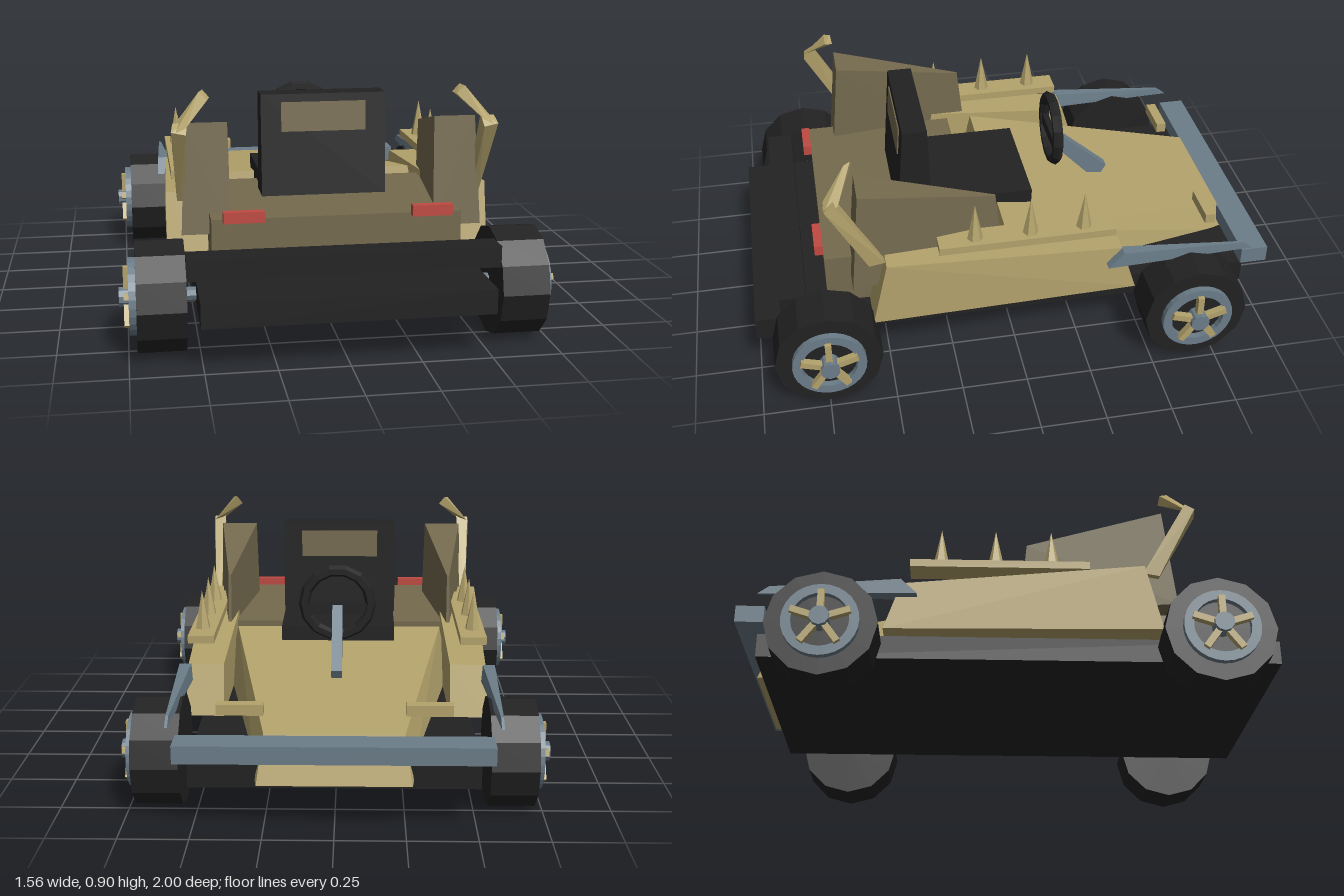
import * as THREE from 'three';
import { ConvexGeometry } from 'three/addons/geometries/ConvexGeometry.js';

const mat = (name, color, opts = {}) => {
  const m = new THREE.MeshStandardMaterial({ color, flatShading: true, ...opts });
  m.name = name;
  return m;
};

export function createModel() {
  const tan = mat('tan', 0xb4a36c);
  const olive = mat('olive', 0x746a4e);
  const black = mat('black', 0x222222);
  const steel = mat('steel', 0x6b7d89);
  const red = mat('red', 0xc04a42);

  const root = new THREE.Group();
  root.name = 'kart';

  const add = (name, geometry, material, parent = root) => {
    const mesh = new THREE.Mesh(geometry, material);
    mesh.name = name;
    parent.add(mesh);
    return mesh;
  };
  // Axis-aligned box from its limits
  const box = (name, m, x0, x1, y0, y1, z0, z1, parent) => {
    const b = add(name, new THREE.BoxGeometry(Math.abs(x1 - x0), y1 - y0, z1 - z0), m, parent);
    b.position.set((x0 + x1) / 2, (y0 + y1) / 2, (z0 + z1) / 2);
    return b;
  };
  // Faceted block from corner points, optionally mirrored
  const hull = (name, m, pts, s = 1) =>
    add(name, new ConvexGeometry(pts.map(([x, y, z]) => new THREE.Vector3(x * s, y, z))), m);
  // Symmetric block: rows of [halfWidth, y, z]
  const symHull = (name, m, rows) =>
    hull(name, m, rows.flatMap(([x, y, z]) => [[x, y, z], [-x, y, z]]));

  // Chassis and bumpers
  box('floorPan', black, -0.51, 0.51, 0.16, 0.25, -0.92, 1.0);
  box('blackBumper', black, -0.55, 0.55, 0.295, 0.372, 0.8, 0.9);
  box('steelBumper', steel, -0.55, 0.55, 0.28, 0.345, -1.0, -0.895);

  // Body
  symHull('hood', tan, [
    [0.245, 0.352, -0.895], [0.415, 0.465, 0.02],
    [0.27, 0.18, -0.95], [0.28, 0.24, -0.88], [0.46, 0.24, 0.06],
  ]);
  box('deck', olive, -0.45, 0.45, 0.24, 0.458, 0.12, 0.72);

  // Seat with a leaning back and an inset panel on both faces
  box('seatCushion', black, -0.225, 0.225, 0.4, 0.508, -0.12, 0.3);
  symHull('seatBack', black, [
    [0.236, 0.84, 0.29], [0.236, 0.84, 0.385],
    [0.236, 0.458, 0.28], [0.236, 0.458, 0.415],
  ]);
  symHull('seatPanel', olive, [
    [0.16, 0.81, 0.285], [0.16, 0.81, 0.392],
    [0.16, 0.7, 0.282], [0.16, 0.7, 0.401],
  ]);

  // Steering wheel and column
  const steering = new THREE.Group();
  steering.name = 'steeringWheel';
  steering.position.set(0, 0.64, -0.245);
  root.add(steering);
  add('steeringRim', new THREE.TorusGeometry(0.129, 0.022, 6, 14), black, steering);
  box('steeringBar', black, -0.12, 0.12, -0.045, 0.0, -0.012, 0.012, steering);
  symHull('steeringColumn', steel, [
    [0.02, 0.635, -0.255], [0.02, 0.575, -0.245],
    [0.02, 0.44, -0.48], [0.02, 0.37, -0.44],
  ]);

  for (const s of [1, -1]) {
    const side = s > 0 ? 'left' : 'right';

    // Side pod
    hull(side + 'SidePod', tan, [
      [0.425, 0.51, 0.5], [0.6, 0.51, 0.5], [0.42, 0.25, 0.56], [0.6, 0.25, 0.56],
      [0.43, 0.44, -0.4], [0.565, 0.44, -0.4], [0.43, 0.25, -0.46], [0.575, 0.25, -0.46],
    ], s);

    // Spikes on their rail
    box(side + 'SpikeRail', tan, s * 0.47, s * 0.57, 0.51, 0.54, -0.37, 0.3);
    for (const z of [0.16, -0.05, -0.255]) {
      add(side + 'Spike', new THREE.ConeGeometry(0.03, 0.15, 6), tan)
        .position.set(s * 0.525, 0.615, z);
    }

    // Wedge fin beside the seat
    hull(side + 'Fin', olive, [
      [0.445, 0.67, 0.07], [0.455, 0.67, 0.07], [0.445, 0.38, 0.04], [0.46, 0.38, 0.04],
      [0.378, 0.78, 0.585], [0.53, 0.78, 0.585], [0.372, 0.38, 0.625], [0.55, 0.38, 0.625],
    ], s);

    // Bent horn: tapered strut and hooked tip
    hull(side + 'HornStrut', tan, [
      [0.535, 0.5, 0.5], [0.56, 0.5, 0.5], [0.535, 0.49, 0.56], [0.56, 0.49, 0.56],
      [0.525, 0.8, 0.67], [0.575, 0.795, 0.67], [0.53, 0.76, 0.71], [0.582, 0.77, 0.705],
    ], s);
    hull(side + 'HornTip', tan, [
      [0.53, 0.8, 0.655], [0.57, 0.785, 0.655], [0.53, 0.785, 0.705], [0.57, 0.765, 0.705],
      [0.44, 0.87, 0.59], [0.465, 0.9, 0.595], [0.45, 0.865, 0.62], [0.48, 0.895, 0.62],
    ], s);

    // Blade over the wheel
    hull(side + 'WheelBlade', steel, [
      [0.545, 0.38, -0.34], [0.605, 0.38, -0.34], [0.555, 0.44, -0.4], [0.6, 0.44, -0.4],
      [0.572, 0.38, -0.92], [0.582, 0.38, -0.92], [0.572, 0.41, -0.88], [0.582, 0.41, -0.88],
    ], s);

    // Lamps
    box(side + 'HoodLamp', tan, s * 0.25, s * 0.415, 0.39, 0.43, -0.825, -0.785);
    box(side + 'RedLamp', red, s * 0.265, s * 0.41, 0.45, 0.49, 0.72, 0.752);

    // Wheels, built along their own axis and turned outward
    for (const z of [0.74, -0.665]) {
      const wheel = new THREE.Group();
      wheel.name = side + 'Wheel';
      wheel.position.set(s * 0.55, 0.2, z);
      wheel.rotation.y = s * Math.PI / 2;
      root.add(wheel);
      const disc = (name, m, r, z0, z1, n) => {
        const d = add(name, new THREE.CylinderGeometry(r, r, z1 - z0, n), m, wheel);
        d.rotation.x = Math.PI / 2;
        d.position.z = (z0 + z1) / 2;
      };
      disc('tyre', black, 0.2, 0, 0.17, 12);
      disc('axle', steel, 0.025, -0.06, 0.02, 8);
      disc('hub', steel, 0.036, 0.16, 0.228, 10);

      const ring = new THREE.Shape().absarc(0, 0, 0.137, 0, Math.PI * 2);
      ring.holes.push(new THREE.Path().absarc(0, 0, 0.102, 0, Math.PI * 2, true));
      add('rim', new THREE.ExtrudeGeometry(ring, { depth: 0.025, bevelEnabled: false, curveSegments: 14 }), steel, wheel)
        .position.z = 0.17;

      for (let i = 0; i < 5; i++) {
        const arm = new THREE.Group();
        arm.name = 'spokeArm';
        arm.rotation.z = i * Math.PI * 2 / 5;
        wheel.add(arm);
        box('spoke', tan, -0.012, 0.012, 0.02, 0.11, 0.185, 0.212, arm);
      }
    }
  }
  return root;
}
